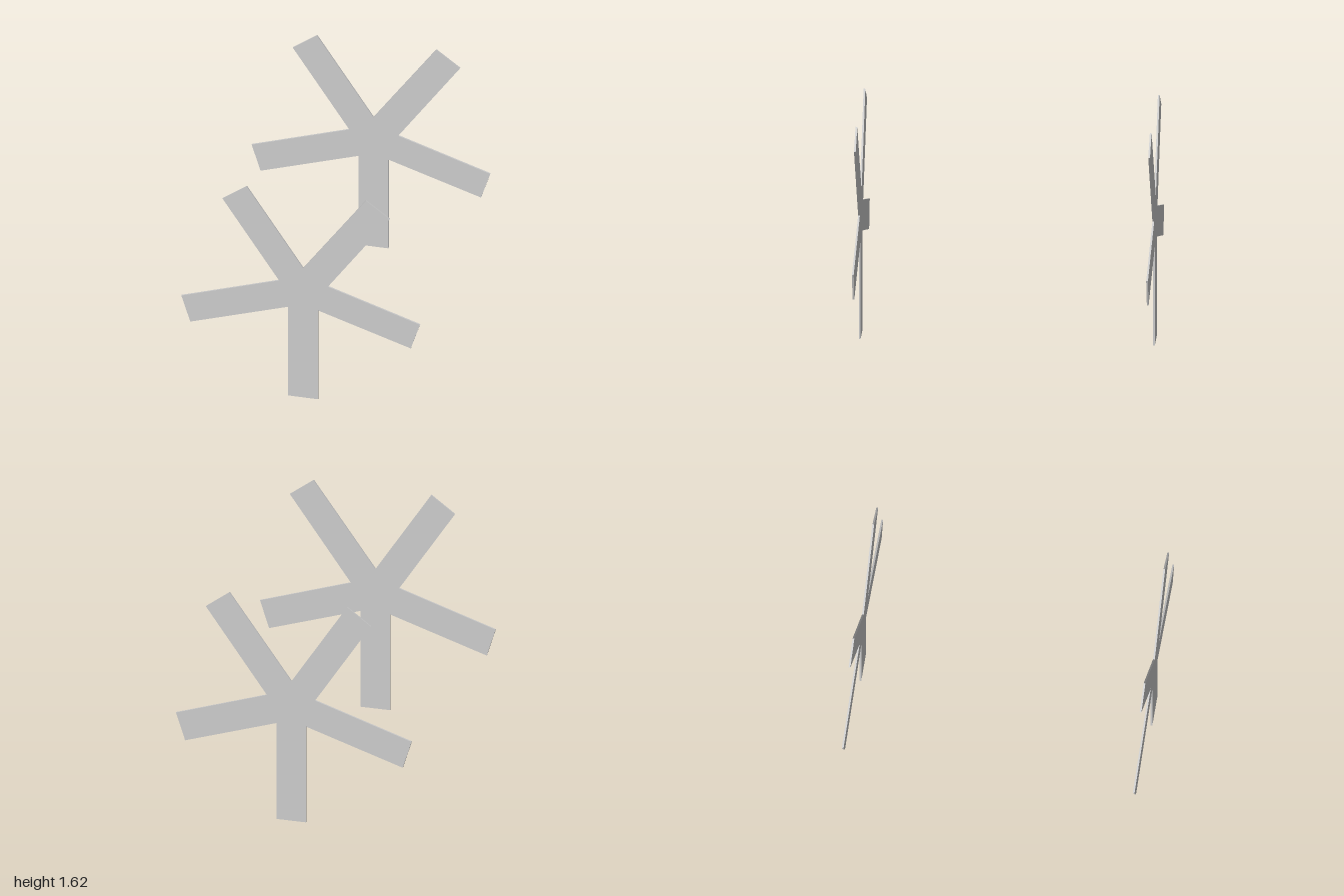
import * as THREE from 'three';

// Five-armed outline, counter-clockwise from the foot of the lower arm
const OUTLINE = [
  [-0.088, 0], [0.12, 0], [0.12, 0.704],          // lower arm
  [0.763, 0.498], [0.827, 0.694], [0.188, 0.902], // left side arm
  [0.617, 1.5], [0.451, 1.622], [0.016, 1.023],   // left upper arm
  [-0.376, 1.614], [-0.543, 1.493], [-0.151, 0.902], // right upper arm
  [-0.829, 0.682], [-0.767, 0.485], [-0.088, 0.703], // right side arm
];
const THICKNESS = 0.012;

export function createModel() {
  const group = new THREE.Group();
  group.name = 'starPair';

  const shape = new THREE.Shape(OUTLINE.map(([x, y]) => new THREE.Vector2(x, y)));
  const geometry = new THREE.ExtrudeGeometry(shape, { depth: THICKNESS, bevelEnabled: false });
  const material = new THREE.MeshStandardMaterial({ color: 0xcccccc, flatShading: true });

  // Two identical thin plates, one at each end of the depth
  for (const [name, z] of [['frontStar', 1 - THICKNESS], ['backStar', -1]]) {
    const star = new THREE.Mesh(geometry, material);
    star.name = name;
    star.position.z = z;
    group.add(star);
  }
  return group;
}
